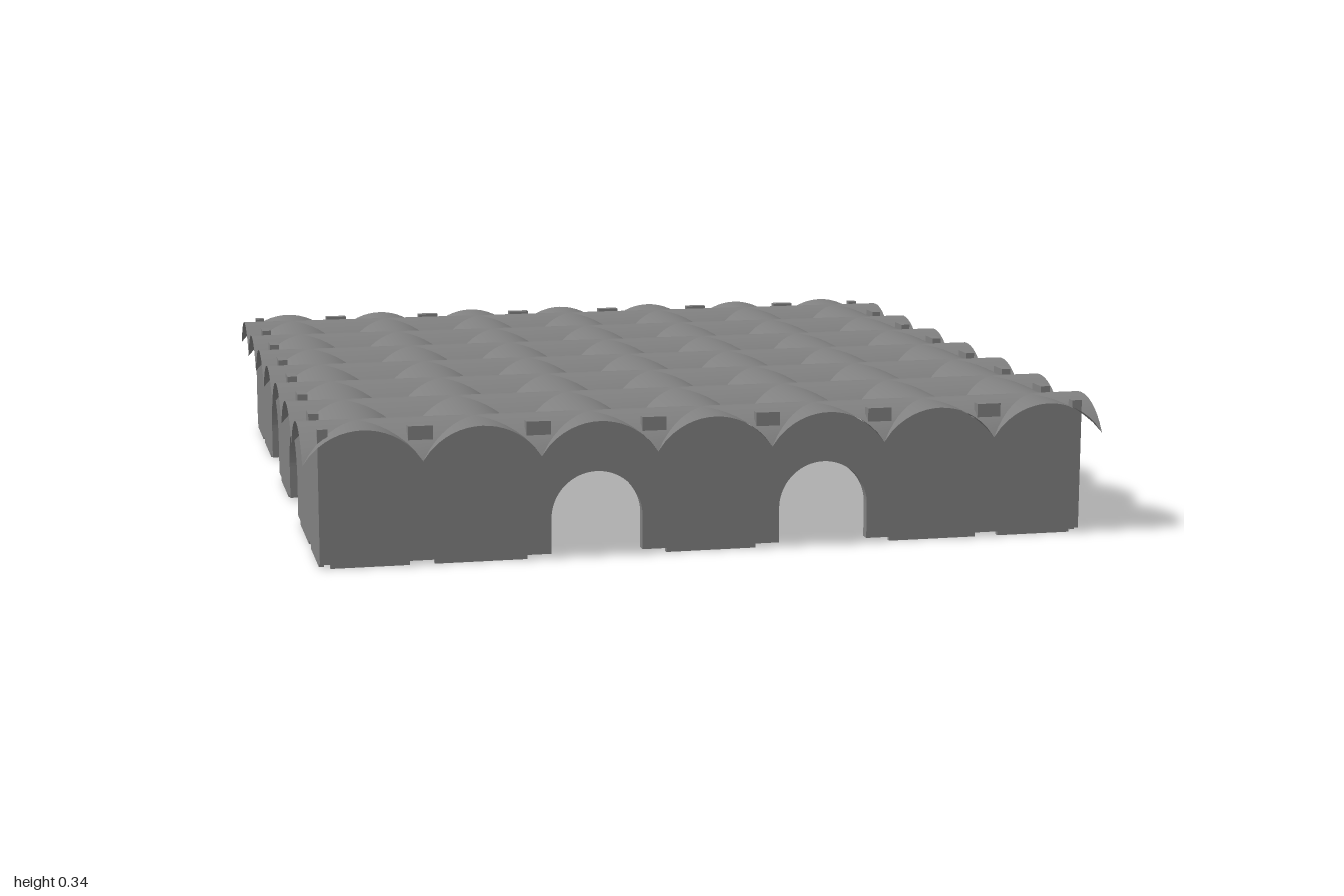
import * as THREE from 'three';

const CELLS = 7, H = 1 / CELLS;            // bay count and half a bay
const CROWN = 0.34, SPRING = 0.26;         // top and lowest points of the vaults
const DROP = CROWN - SPRING;
const R = (H * H + DROP * DROP) / (2 * DROP);
const OUTER = 0.96, INNER = 0.935, POST = 0.03;

const stone = new THREE.MeshStandardMaterial({ color: 0x808080 });
stone.name = 'grey stone';
const vaultStone = stone;
vaultStone.side = THREE.DoubleSide;

// height of a barrel vault at distance d from its crown line
const arch = d => CROWN - R + Math.sqrt(R * R - d * d);

function add(parent, name, geometry) {
  const mesh = new THREE.Mesh(geometry, stone);
  mesh.name = name;
  parent.add(mesh);
  return mesh;
}

// Groin vaults: every bay edge carries a diamond of barrel vault
function vaultGeometry() {
  const pos = [], index = [], N = 16;
  const diamond = (cx, cz, lo, hi, turned) => {
    const base = pos.length / 3;
    for (let i = 0; i <= N; i++) {
      const d = H * (2 * i / N - 1), w = H - Math.abs(d), y = arch(d);
      for (const s of [lo, hi]) {
        if (turned) pos.push(cx + s * w, y, cz + d);
        else pos.push(cx + d, y, cz + s * w);
      }
      if (i === N) break;
      const a = base + 2 * i, b = a + 1, c = a + 2, e = a + 3;
      if (turned) index.push(a, c, b, b, c, e);
      else index.push(a, b, c, b, e, c);
    }
  };
  for (let i = 0; i < CELLS; i++) {
    const mid = -1 + H * (2 * i + 1);
    for (let j = 0; j <= CELLS; j++) {
      const edge = -1 + 2 * H * j, lo = j === 0 ? 0 : -1, hi = j === CELLS ? 0 : 1;
      diamond(mid, edge, lo, hi, false);
      diamond(edge, mid, lo, hi, true);
    }
  }
  const g = new THREE.BufferGeometry();
  g.setAttribute('position', new THREE.Float32BufferAttribute(pos, 3));
  g.setIndex(index);
  g.computeVertexNormals();
  return g;
}

// Wall above the arch of one bay, its top following the vault
function spandrelGeometry(x0, x1, cell, spring) {
  const s = new THREE.Shape();
  const ledge = arch(H - (1 - OUTER));
  s.moveTo(x0, spring);
  for (let i = 0; i <= 20; i++) {
    const x = x0 + (x1 - x0) * i / 20;
    s.lineTo(x, Math.max(arch(Math.min(H, Math.abs(x - cell))), ledge) - 0.002);
  }
  s.lineTo(x1, spring);
  s.absarc((x0 + x1) / 2, spring, (x1 - x0) / 2, 0, Math.PI, false);
  const g = new THREE.ExtrudeGeometry(s, { depth: OUTER - INNER, bevelEnabled: false, curveSegments: 20 });
  return g.translate(0, 0, INNER);
}

// Thin panel closing an arch
function infillGeometry(x0, x1, spring) {
  const s = new THREE.Shape();
  s.moveTo(x0, 0);
  s.lineTo(x1, 0);
  s.lineTo(x1, spring);
  s.absarc((x0 + x1) / 2, spring, (x1 - x0) / 2, 0, Math.PI, false);
  const g = new THREE.ExtrudeGeometry(s, { depth: 0.012, bevelEnabled: false, curveSegments: 20 });
  return g.translate(0, 0, OUTER - 0.012);
}

function wall(name) {
  const g = new THREE.Group();
  g.name = name;
  const bottom = 0.01, top = 0.338, spring = 0.097;
  const block = (w, x) => new THREE.BoxGeometry(w, top - bottom, OUTER - INNER)
    .translate(x, (top + bottom) / 2, (OUTER + INNER) / 2);

  // piers between the bays, and one corner post per wall
  for (let j = 1; j < CELLS; j++) add(g, 'pier', block(2 * POST, -1 + 2 * H * j));
  add(g, 'cornerPost', block(OUTER - INNER, (OUTER + INNER) / 2));

  // bays: the second from the middle on each side stays open
  for (let i = 0; i < CELLS; i++) {
    const cell = -1 + H * (2 * i + 1);
    const x0 = i === 0 ? -INNER : cell - H + POST;
    const x1 = i === CELLS - 1 ? INNER : cell + H - POST;
    add(g, 'archedWall', spandrelGeometry(x0, x1, cell, spring));
    if (i !== 2 && i !== 4) add(g, 'archInfill', infillGeometry(x0, x1, spring));
  }
  return g;
}

export function createModel() {
  const model = new THREE.Group();
  model.name = 'vaultedHall';
  add(model, 'vaultedRoof', vaultGeometry());
  ['frontWall', 'leftWall', 'backWall', 'rightWall'].forEach((name, i) => {
    const w = wall(name);
    w.rotation.y = i * Math.PI / 2;
    model.add(w);
  });
  return model;
}
